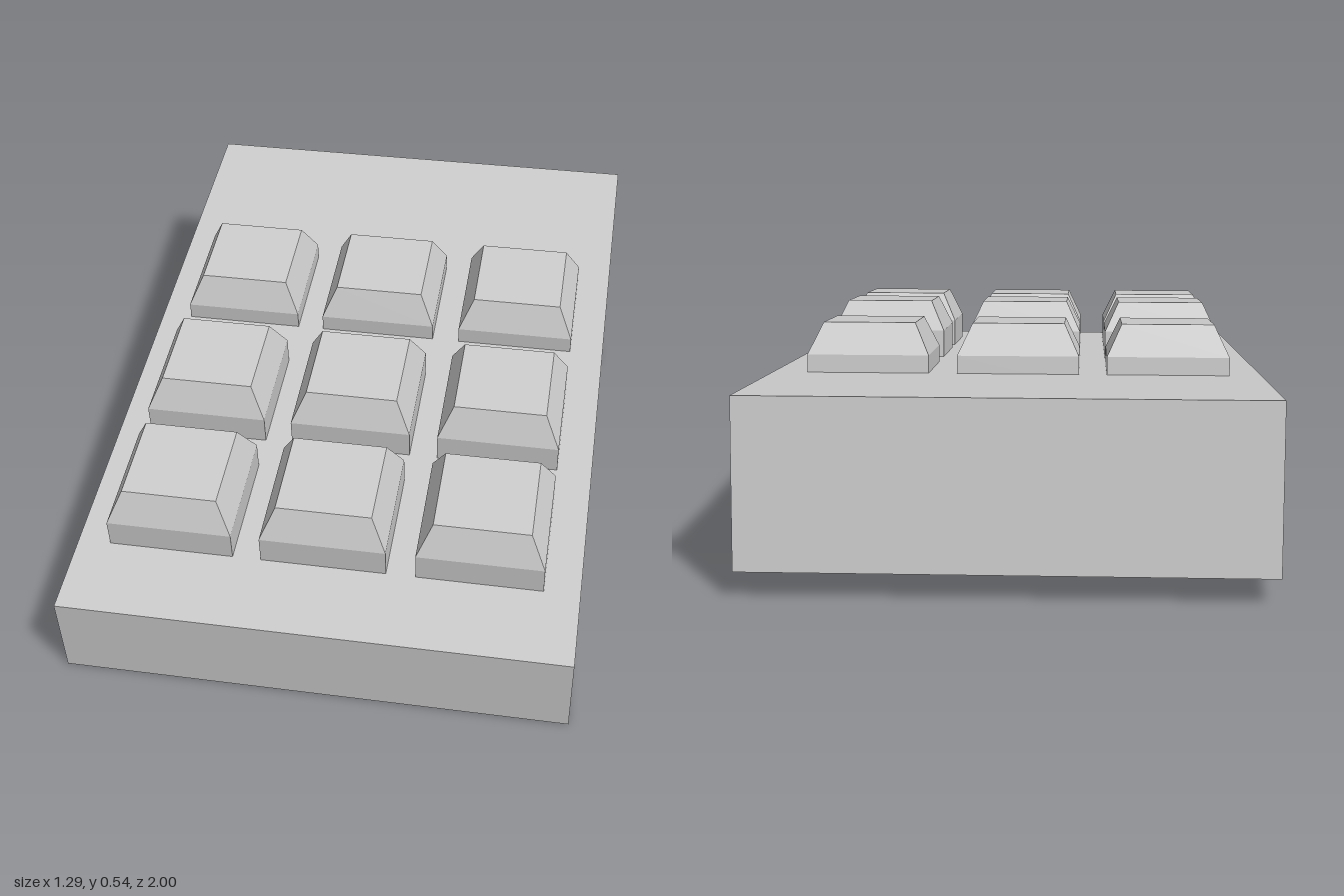
import * as THREE from 'three';

const material = new THREE.MeshStandardMaterial({ color: 0xcccccc, flatShading: true });

// Side profile (depth, height) with a foot at the rear, extruded across the width
function createBody() {
  const width = 1.29, length = 1.96, thickness = 0.237, rearHeight = 0.419, footLength = 0.432;
  const profile = new THREE.Shape([
    [0, 0], [-length, 0], [-length, -rearHeight], [footLength - length, -rearHeight],
    [footLength - length, -thickness], [0, -thickness],
  ].map(([z, y]) => new THREE.Vector2(z, y)));
  const geometry = new THREE.ExtrudeGeometry(profile, { depth: width, bevelEnabled: false });
  geometry.translate(0, 0, -width / 2).rotateY(-Math.PI / 2);
  const body = new THREE.Mesh(geometry, material);
  body.name = 'wedgeBody';
  return body;
}

// Square keycap: straight skirt, tapered shoulder, flat top (half width, height)
function createKeyGeometry() {
  const points = [[0, 0], [0.161, 0], [0.161, 0.077], [0.122, 0.161], [0, 0.161]]
    .map(([half, y]) => new THREE.Vector2(half * Math.SQRT2, y));
  return new THREE.LatheGeometry(points, 4, Math.PI / 4).toNonIndexed();
}

export function createModel() {
  const model = new THREE.Group();
  model.name = 'keypad';

  // Everything sits in one tilted frame whose origin is the top front edge
  const tilted = new THREE.Group();
  tilted.name = 'tiltedKeypad';
  tilted.position.set(0, 0.236, 0.998);
  tilted.rotation.x = THREE.MathUtils.degToRad(7.33);
  tilted.add(createBody());

  // Three by three keys; the rear row is sunk a little into the body
  const keyGeometry = createKeyGeometry();
  const columns = [-0.4, -0.005, 0.392];
  const rows = [
    { name: 'front', z: -0.38, y: 0 },
    { name: 'middle', z: -0.795, y: 0 },
    { name: 'rear', z: -1.262, y: -0.03 },
  ];
  for (const row of rows) {
    columns.forEach((x, i) => {
      const key = new THREE.Mesh(keyGeometry, material);
      key.name = `${row.name}Key${i + 1}`;
      key.position.set(x, row.y, row.z);
      tilted.add(key);
    });
  }

  model.add(tilted);
  return model;
}
